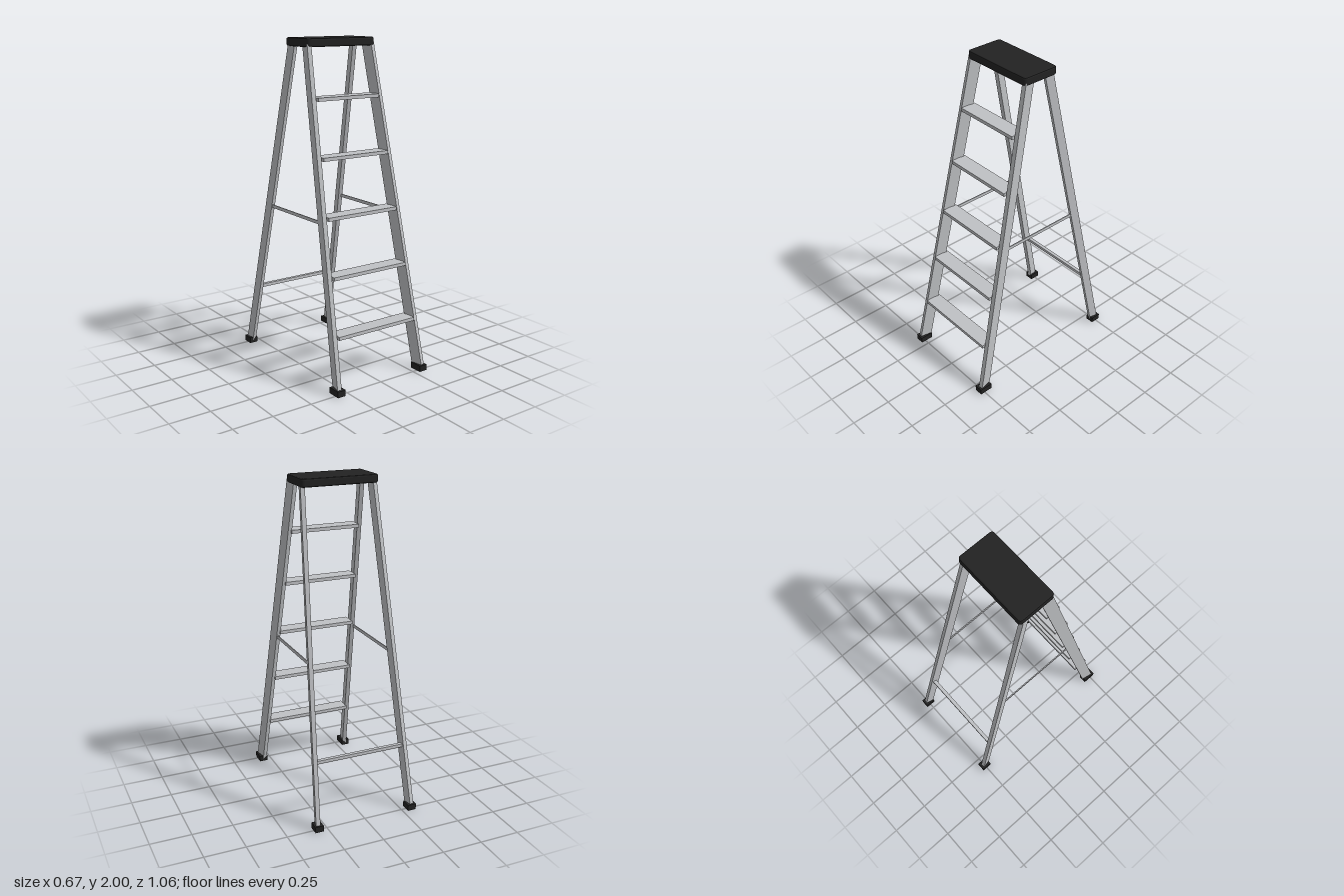
import * as THREE from 'three';

const V = (x, y, z) => new THREE.Vector3(x, y, z);

export function createModel() {
  const model = new THREE.Group();
  model.name = 'stepladder';
  const aluminium = new THREE.MeshStandardMaterial({ color: 0xbfc1c4 });
  aluminium.name = 'aluminium';
  const rubber = new THREE.MeshStandardMaterial({ color: 0x222222 });
  rubber.name = 'black plastic';

  function box(name, material, w, h, d, x, y, z) {
    const mesh = new THREE.Mesh(new THREE.BoxGeometry(w, h, d), material);
    mesh.name = name;
    mesh.position.set(x, y, z);
    model.add(mesh);
    return mesh;
  }

  // Centre lines of the leaning legs, as functions of height
  const legX = (y) => 0.3075 - 0.0875 * (y / 1.95);
  const frontZ = (y) => 0.487 - 0.425 * (y / 1.95);
  const backZ = (y) => -0.4985 + 0.4085 * (y / 1.95);

  // Straight bar whose broad side follows the plane of its own lean
  function rail(name, a, b, thickness, depth) {
    const along = b.clone().sub(a);
    const length = along.length();
    const yAxis = along.normalize();
    const xAxis = V(0, 1, 0).cross(yAxis).normalize();
    const zAxis = xAxis.clone().cross(yAxis);
    const mesh = box(name, aluminium, thickness, length, depth, 0, 0, 0);
    mesh.quaternion.setFromRotationMatrix(new THREE.Matrix4().makeBasis(xAxis, yAxis, zAxis));
    mesh.position.copy(a).add(b).multiplyScalar(0.5);
  }

  for (const [side, s] of [['left', 1], ['right', -1]]) {
    // Legs and their feet
    const low = 0.022, high = 1.962;
    rail(side + 'FrontLeg', V(s * legX(low), low, frontZ(low)), V(s * legX(high), high, frontZ(high)), 0.026, 0.073);
    rail(side + 'BackLeg', V(s * legX(low), low, backZ(low)), V(s * legX(high), high, backZ(high)), 0.026, 0.053);
    box(side + 'FrontFoot', rubber, 0.053, 0.037, 0.084, s * 0.3075, 0.0185, 0.487);
    box(side + 'BackFoot', rubber, 0.053, 0.037, 0.064, s * 0.3075, 0.0185, -0.498);

    // Spreader bar between front and back legs
    const y = 0.963;
    box(side + 'Spreader', aluminium, 0.006, 0.02, frontZ(y) - backZ(y), s * legX(y), y, (frontZ(y) + backZ(y)) / 2);
  }

  // Treads
  for (let i = 1; i <= 5; i++) {
    const y = 0.325 + (i - 1) * 0.3335;
    box('tread' + i, aluminium, 2 * (legX(y) - 0.014), 0.021, 0.098, 0, y, frontZ(y));
  }

  // Rear cross bar
  box('backCrossBar', aluminium, 0.556, 0.02, 0.023, 0, 0.402, -0.422);

  // Top cap with rounded corners and bevelled rims
  const bevel = 0.009, r = 0.012, w = 0.24 - bevel, d = 0.119 - bevel;
  const outline = new THREE.Shape();
  outline.moveTo(-w + r, -d);
  outline.lineTo(w - r, -d);
  outline.absarc(w - r, -d + r, r, -Math.PI / 2, 0);
  outline.absarc(w - r, d - r, r, 0, Math.PI / 2);
  outline.absarc(-w + r, d - r, r, Math.PI / 2, Math.PI);
  outline.absarc(-w + r, -d + r, r, Math.PI, Math.PI * 1.5);
  const capGeometry = new THREE.ExtrudeGeometry(outline, {
    depth: 0.05 - 2 * bevel, bevelEnabled: true, bevelSize: bevel,
    bevelThickness: bevel, bevelSegments: 2, curveSegments: 4,
  });
  capGeometry.rotateX(-Math.PI / 2);
  const cap = new THREE.Mesh(capGeometry, rubber);
  cap.name = 'topCap';
  cap.position.set(0, 1.95 + bevel, -0.018);
  model.add(cap);

  return model;
}
